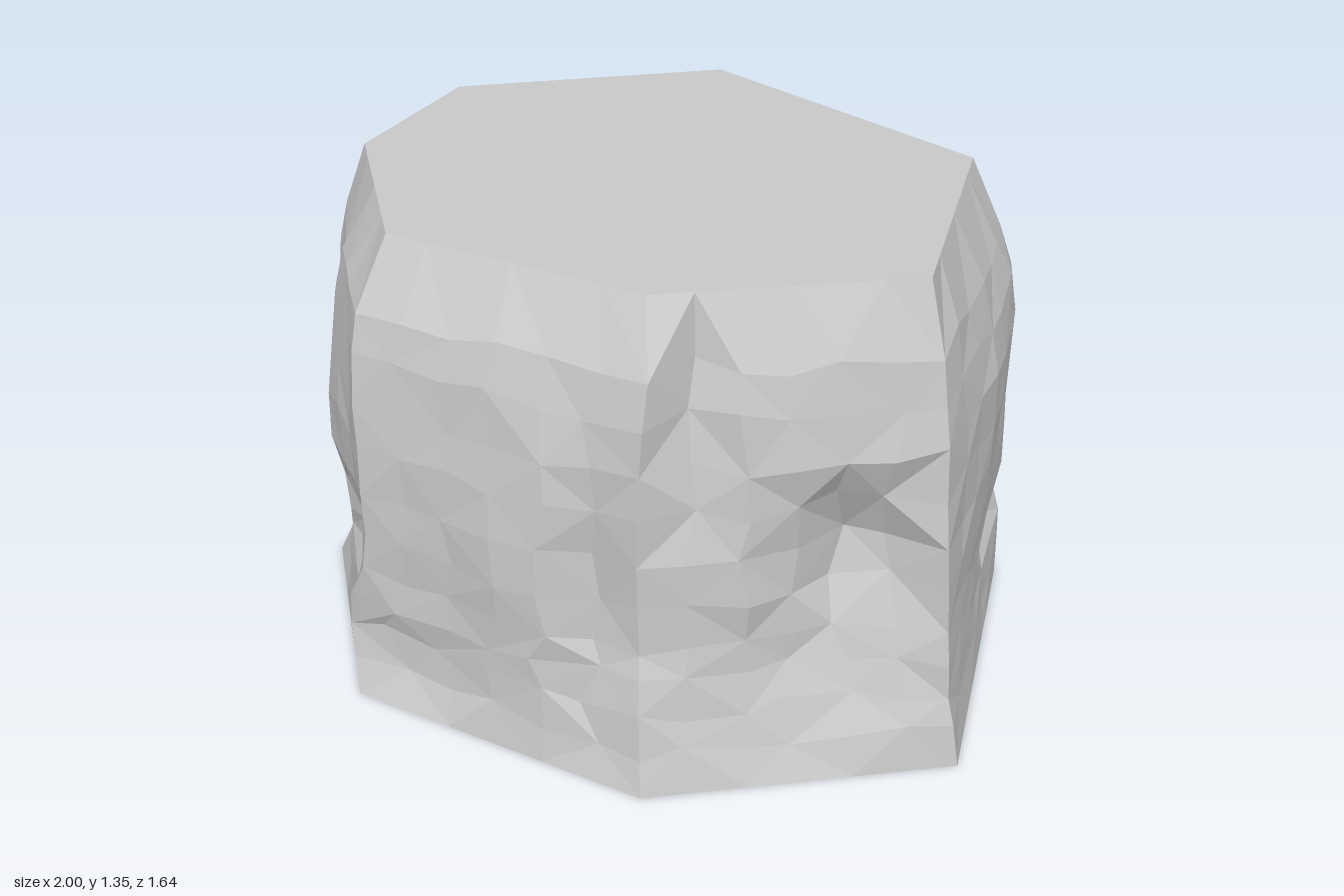
import * as THREE from 'three';

const HEIGHT = 1.35, PER_FACE = 6;
const LEVELS = [0, 0.2, 0.45, 0.72, 1.0, 1.18, HEIGHT];
const ROWS = [0, 0.12, 0.22, 0.32, 0.42, 0.54, 0.66, 0.8, 0.93, 1.06, 1.18, HEIGHT];

// Seven vertical corner ridges: x, z at each of the levels
const CORNERS = [
  [1.0, 0.26, 0.96, 0.26, 0.93, 0.25, 0.905, 0.25, 0.88, 0.245, 0.845, 0.23, 0.79, 0.21],
  [0.35, 0.77, 0.33, 0.745, 0.31, 0.715, 0.31, 0.72, 0.325, 0.72, 0.33, 0.68, 0.28, 0.6],
  [-0.51, 0.82, -0.57, 0.785, -0.45, 0.79, -0.44, 0.795, -0.45, 0.78, -0.44, 0.745, -0.4, 0.65],
  [-0.97, 0.34, -0.88, 0.32, -0.87, 0.31, -0.88, 0.32, -0.87, 0.31, -0.84, 0.29, -0.77, 0.27],
  [-1.0, -0.21, -0.93, -0.21, -0.89, -0.2, -0.905, -0.2, -0.885, -0.2, -0.85, -0.18, -0.79, -0.17],
  [-0.28, -0.82, -0.28, -0.81, -0.27, -0.78, -0.25, -0.7, -0.24, -0.72, -0.24, -0.72, -0.22, -0.65],
  [0.79, -0.55, 0.78, -0.55, 0.77, -0.53, 0.77, -0.49, 0.76, -0.51, 0.71, -0.48, 0.63, -0.44],
];

// Dents and bulges: place around the rock (corner number), height, half width, half height, depth
const DENTS = [
  // front left face: deep hollow under a ledge, groove beside the ridge, low hollow
  [0.29, 0.66, 0.3, 0.26, 0.1], [0.29, 0.5, 0.3, 0.42, 0.08],
  [0.83, 1.12, 0.18, 0.5, 0.08], [0.55, 0.3, 0.35, 0.28, 0.05],
  // front face: groove beside a crest, foot
  [1.12, 0.55, 0.17, 0.6, 0.06], [1.4, 0.55, 0.3, 0.55, -0.045], [1.83, 0.15, 0.45, 0.16, 0.03],
  // front right face: rib and side hollows
  [2.5, 0.7, 0.4, 0.65, -0.06], [2.33, 0.33, 0.2, 0.3, 0.05], [2.83, 0.5, 0.17, 0.4, 0.03],
  // right face: notch above the foot
  [3.5, 0.24, 0.4, 0.24, 0.09], [3.5, 0.8, 0.4, 0.4, -0.02],
  // back right face: broad swelling
  [4.4, 0.85, 0.55, 0.8, -0.12],
  // back face: cave, upper swelling, grooves and a rib
  [5.33, 0.24, 0.28, 0.2, 0.17], [5.45, 1.08, 0.5, 0.4, -0.075], [5.5, 0.55, 0.2, 0.35, 0.06],
  [5.67, 0.6, 0.15, 0.5, -0.04], [5.83, 0.8, 0.17, 0.5, 0.04],
  // left face: slit and swelling
  [6.17, 0.32, 0.25, 0.1, 0.06], [6.45, 0.9, 0.5, 0.6, -0.045],
];

function seeded(seed) {
  return () => {
    seed = (seed * 16807) % 2147483647;
    return seed / 2147483647 - 0.5;
  };
}

// Point on one corner ridge at height y
function ridge(corner, y) {
  let i = 0;
  while (i < LEVELS.length - 2 && y > LEVELS[i + 1]) i++;
  const t = (y - LEVELS[i]) / (LEVELS[i + 1] - LEVELS[i]);
  const c = CORNERS[corner % CORNERS.length];
  return new THREE.Vector2(c[2 * i], c[2 * i + 1]).lerp(new THREE.Vector2(c[2 * i + 2], c[2 * i + 3]), t);
}

// Point on the rough side wall
function wallPoint(s, y, rand) {
  const face = Math.floor(s), fade = Math.min(1, y / 0.12, (HEIGHT - y) / 0.12);
  const onCorner = s === face;
  const a = ridge(face, y), b = ridge(face + 1, y);
  const along = s - face + (onCorner ? 0 : rand() * 0.07 * fade);
  const p = a.clone().lerp(b, along);
  let depth = rand() * 0.01;
  for (const [ds, dy, w, h, d] of DENTS) {
    const n = CORNERS.length, gap = Math.abs(s - ds);
    depth += d * Math.max(0, 1 - Math.min(gap, n - gap) / w) * Math.max(0, 1 - Math.abs(y - dy) / h);
  }
  const inward = new THREE.Vector2(a.y - b.y, b.x - a.x).normalize();
  p.addScaledVector(inward, depth * fade);
  return [p.x, y + rand() * 0.04 * fade, p.y];
}

function rockGeometry() {
  const rand = seeded(41), columns = CORNERS.length * PER_FACE, points = [], index = [];
  for (const y of ROWS)
    for (let c = 0; c < columns; c++)
      points.push(...wallPoint(Math.floor(c / PER_FACE) + (c % PER_FACE) / PER_FACE, y, rand));
  const last = ROWS.length - 1, bottom = ROWS.length * columns, top = bottom + 1;
  points.push(0, 0, 0, 0, HEIGHT, 0);
  for (let c = 0; c < columns; c++) {
    const n = (c + 1) % columns;
    for (let r = 0; r < last; r++) {
      const a = r * columns + c, b = r * columns + n, d = a + columns, e = b + columns;
      if ((r + c) % 2) index.push(a, d, b, b, d, e);
      else index.push(a, d, e, a, e, b);
    }
    // Flat bottom and top
    index.push(bottom, c, n, top, last * columns + n, last * columns + c);
  }
  const g = new THREE.BufferGeometry();
  g.setAttribute('position', new THREE.Float32BufferAttribute(points, 3));
  g.setIndex(index);
  const flat = g.toNonIndexed();
  flat.computeVertexNormals();
  return flat;
}

export function createModel() {
  const group = new THREE.Group();
  group.name = 'rock';
  const material = new THREE.MeshStandardMaterial({ color: 0xcccccc, flatShading: true });
  const rock = new THREE.Mesh(rockGeometry(), material);
  rock.name = 'rockBody';
  group.add(rock);
  return group;
}
